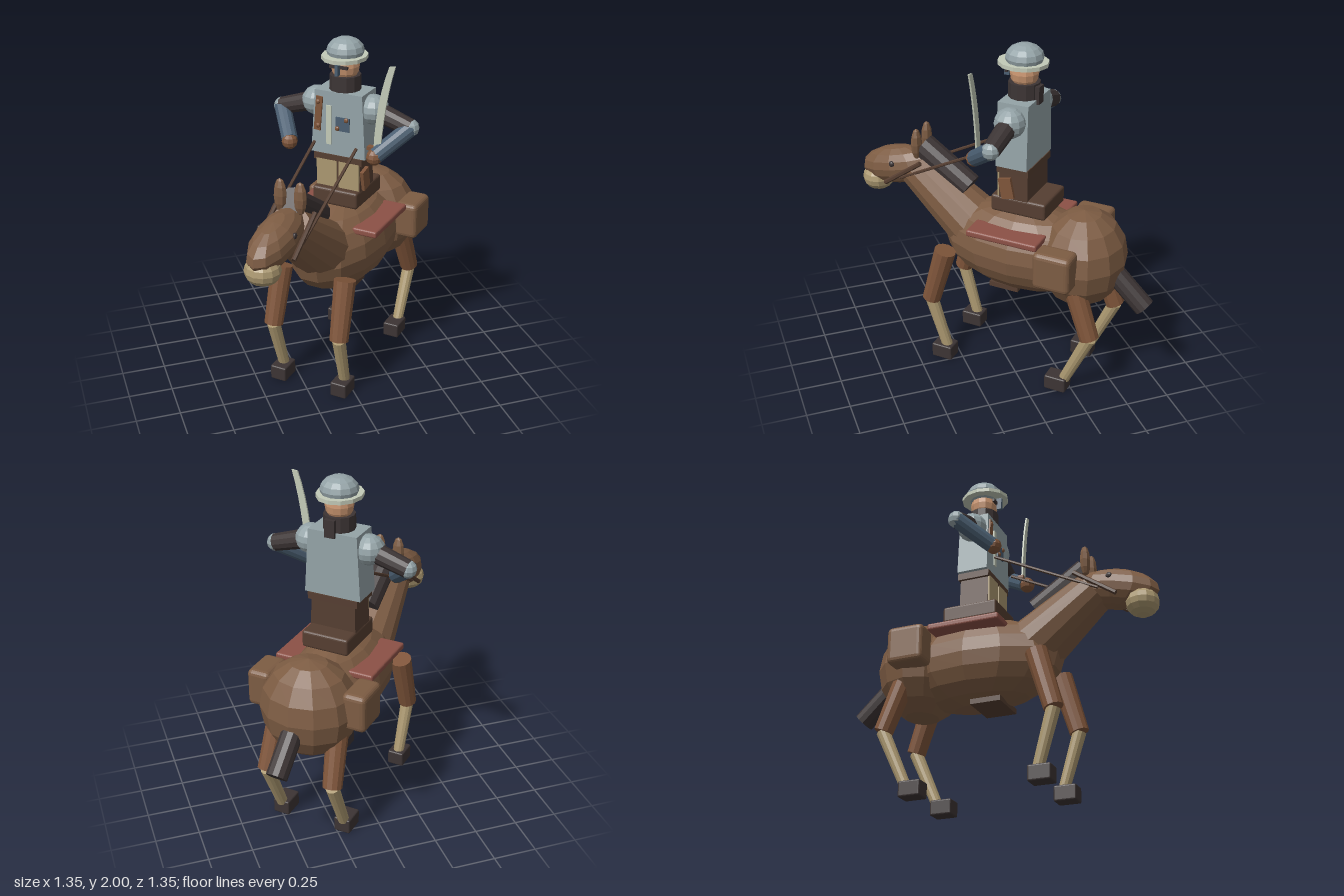
import * as THREE from 'three';
import { RoundedBoxGeometry } from 'three/addons/geometries/RoundedBoxGeometry.js';

const material = (name, color) => {
  const m = new THREE.MeshStandardMaterial({ color });
  m.name = name;
  return m;
};

export function createModel() {
  const coat = material('horse coat brown', 0x7d5c43);
  const leather = material('leather brown', 0x7f553a);
  const darkLeather = material('dark leather', 0x553e31);
  const tan = material('tan', 0xab9870);
  const charcoal = material('charcoal', 0x3c3434);
  const steel = material('steel grey', 0x94a3a7);
  const blue = material('dark blue', 0x4b5f72);
  const skin = material('skin', 0xc8946f);
  const red = material('blanket red', 0x8c5146);
  const pale = material('pale metal', 0xc3cab8);

  const model = new THREE.Group();
  const horse = new THREE.Group();
  horse.name = 'horse';
  const rider = new THREE.Group();
  rider.name = 'rider';
  model.add(horse, rider);
  // Horse and rider face diagonally
  model.rotation.y = -Math.PI / 4;

  // Faceted mesh helper
  const add = (parent, name, geometry, mat, pos = [0, 0, 0], rot = [0, 0, 0]) => {
    const g = geometry.index ? geometry.toNonIndexed() : geometry;
    g.computeVertexNormals();
    const mesh = new THREE.Mesh(g, mat);
    mesh.name = name;
    mesh.position.set(...pos);
    mesh.rotation.set(...rot);
    parent.add(mesh);
    return mesh;
  };
  const ball = (parent, name, mat, pos, r, rot, seg = 12, rows = 8) =>
    add(parent, name, new THREE.SphereGeometry(1, seg, rows).scale(...r), mat, pos, rot);
  const box = (parent, name, mat, pos, size, rot) =>
    add(parent, name, new THREE.BoxGeometry(...size), mat, pos, rot);
  const softBox = (parent, name, mat, pos, size, radius, rot) =>
    add(parent, name, new RoundedBoxGeometry(...size, 2, radius), mat, pos, rot);
  // Tapered rod from a to b
  const rod = (parent, name, mat, a, b, ra, rb = ra, sides = 12) => {
    const from = new THREE.Vector3(...a), to = new THREE.Vector3(...b);
    const dir = to.clone().sub(from);
    const mesh = add(parent, name, new THREE.CylinderGeometry(rb, ra, dir.length(), sides), mat);
    mesh.position.copy(from).add(to).multiplyScalar(0.5);
    mesh.quaternion.setFromUnitVectors(new THREE.Vector3(0, 1, 0), dir.normalize());
    return mesh;
  };
  // Box whose top is a different size from its bottom
  const taperBox = (parent, name, mat, pos, bottom, top, height) => {
    const g = new THREE.BoxGeometry(1, height, 1);
    const p = g.attributes.position;
    for (let i = 0; i < p.count; i++) {
      const s = p.getY(i) > 0 ? top : bottom;
      p.setX(i, p.getX(i) * s[0]);
      p.setZ(i, p.getZ(i) * s[1]);
    }
    return add(parent, name, g, mat, pos);
  };

  // Horse body, neck and head
  ball(horse, 'barrel', coat, [0, 0.79, -0.15], [0.26, 0.265, 0.5], [0, 0, 0], 14, 10);
  ball(horse, 'rump', coat, [0, 0.8, -0.51], [0.28, 0.29, 0.25]);
  rod(horse, 'neck', coat, [0, 0.82, 0.13], [0, 1.14, 0.54], 0.18, 0.125, 14);
  ball(horse, 'horseHead', coat, [0, 1.13, 0.67], [0.115, 0.115, 0.25], [0.22, 0, 0]);
  ball(horse, 'muzzle', tan, [0, 1.02, 0.815], [0.1, 0.082, 0.095]);
  rod(horse, 'mane', charcoal, [0, 1.08, 0.2], [0, 1.28, 0.5], 0.075);
  rod(horse, 'tail', charcoal, [0, 0.76, -0.68], [0, 0.56, -0.89], 0.06);

  // Tack
  softBox(horse, 'saddle', darkLeather, [0, 1.09, -0.165], [0.28, 0.1, 0.33], 0.015);
  box(horse, 'girth', darkLeather, [0, 0.54, -0.07], [0.24, 0.03, 0.18]);

  for (const s of [1, -1]) {
    ball(horse, 'ear', coat, [s * 0.06, 1.31, 0.513], [0.038, 0.095, 0.03], [0, 0, 0], 8, 6);
    ball(horse, 'eye', charcoal, [s * 0.105, 1.17, 0.66], [0.012, 0.018, 0.018], [0, 0, 0], 8, 6);
    rod(horse, 'bridle', darkLeather, [s * 0.118, 1.05, 0.7], [s * 0.118, 1.22, 0.46], 0.014, 0.014, 6);
    rod(horse, 'rein', darkLeather, [s * 0.13, 1.41, -0.01], [s * 0.118, 1.1, 0.6], 0.009, 0.009, 6);
    softBox(horse, 'blanket', red, [s * 0.225, 0.95, -0.135], [0.15, 0.04, 0.43], 0.012);
    softBox(horse, 'saddlebag', coat, [s * 0.29, 0.85, -0.46], [0.14, 0.22, 0.22], 0.03);

    // Front leg, then rear leg
    const legs = [
      ['front', [0.2, 0.74, 0.265], [0.21, 0.4, 0.36], [0.2, 0.08, 0.265], 0.285],
      ['rear', [0.18, 0.74, -0.52], [0.205, 0.4, -0.645], [0.2, 0.08, -0.5], -0.456],
    ];
    for (const [end, hip, knee, ankle, hoofZ] of legs) {
      const side = ([x, y, z]) => [s * x, y, z];
      rod(horse, end + 'UpperLeg', leather, side(hip), side(knee), 0.064, 0.055);
      rod(horse, end + 'LowerLeg', tan, side(knee), side(ankle), 0.039, 0.032);
      softBox(horse, end + 'Hoof', charcoal, [s * 0.197, 0.049, hoofZ], [0.1, 0.09, 0.13], 0.01);
    }

    // Rider's arms
    const shoulder = [s * 0.175, 1.61, -0.135], elbow = [s * 0.4, 1.54, -0.132];
    const wrist = [s * 0.265, 1.41, 0.03];
    ball(rider, 'shoulderPlate', steel, shoulder, [0.088, 0.085, 0.088], [0, 0, 0], 12, 8);
    rod(rider, 'upperArm', charcoal, shoulder, elbow, 0.058, 0.05);
    ball(rider, 'elbowPlate', steel, elbow, [0.05, 0.05, 0.05], [0, 0, 0], 10, 6);
    rod(rider, 'forearm', blue, elbow, wrist, 0.048, 0.046);
    ball(rider, 'hand', leather, [s * 0.262, 1.405, 0.038], [0.046, 0.046, 0.046], [0, 0, 0], 10, 6);

    // Trouser panels below the belt
    box(rider, 'trouserPanel', tan, [s * 0.07, 1.215, -0.045], [0.125, 0.17, 0.009]);
  }

  // Torso and hips
  const rz = -0.137;
  taperBox(rider, 'torso', steel, [0, 1.52, rz], [0.335, 0.185], [0.29, 0.18], 0.37);
  box(rider, 'belt', darkLeather, [0, 1.312, rz], [0.3, 0.04, 0.19]);
  taperBox(rider, 'coatSkirt', darkLeather, [0, 1.21, rz], [0.275, 0.175], [0.265, 0.17], 0.18);
  box(rider, 'holster', leather, [0.14, 1.2, -0.1], [0.03, 0.12, 0.075], [0.2, 0, 0]);

  // Chest details
  const front = -0.043;
  box(rider, 'chestStrip', pale, [-0.055, 1.51, front], [0.03, 0.23, 0.009]);
  box(rider, 'chestStrap', leather, [-0.12, 1.57, front], [0.04, 0.2, 0.012], [0, 0, -0.08]);
  box(rider, 'chestPocket', blue, [0.03, 1.525, front], [0.085, 0.08, 0.009]);
  for (const [x, y] of [[0.055, 1.555], [0, 1.5], [-0.12, 1.64], [-0.12, 1.5]]) {
    ball(rider, 'button', leather, [x, y, front + 0.008], [0.014, 0.014, 0.01], [0, 0, 0], 8, 6);
  }

  // Neck scarf, face and helmet
  rod(rider, 'scarf', charcoal, [0, 1.695, rz], [0, 1.79, rz], 0.09, 0.088);
  box(rider, 'scarfTail', charcoal, [0.01, 1.73, rz - 0.092], [0.06, 0.1, 0.025]);
  ball(rider, 'head', skin, [0, 1.84, rz], [0.08, 0.095, 0.08]);
  box(rider, 'noseGuard', blue, [0, 1.845, -0.035], [0.02, 0.075, 0.03]);
  box(rider, 'visorBar', charcoal, [0, 1.85, -0.052], [0.11, 0.016, 0.014]);
  const brim = new THREE.CylinderGeometry(1, 1, 0.022, 12).scale(0.127, 1, 0.142);
  add(rider, 'helmetBrim', brim, pale, [0, 1.893, rz + 0.008]);
  ball(rider, 'helmetDome', steel, [0, 1.925, rz], [0.106, 0.075, 0.106]);

  // Curved sword held in the left hand
  const blade = new THREE.Shape();
  blade.moveTo(0.245, 1.42);
  blade.quadraticCurveTo(0.25, 1.72, 0.365, 1.925);
  blade.lineTo(0.33, 1.91);
  blade.lineTo(0.365, 1.925);
  blade.quadraticCurveTo(0.31, 1.72, 0.29, 1.42);
  const outline = new THREE.Shape();
  outline.moveTo(0.245, 1.42);
  outline.quadraticCurveTo(0.255, 1.72, 0.33, 1.92);
  outline.lineTo(0.365, 1.925);
  outline.quadraticCurveTo(0.305, 1.72, 0.285, 1.42);
  const bladeGeometry = new THREE.ExtrudeGeometry(outline, { depth: 0.01, bevelEnabled: false, curveSegments: 6 });
  add(rider, 'swordBlade', bladeGeometry, pale, [0, 0, 0.005]);
  box(rider, 'swordGuard', leather, [0.262, 1.445, 0.012], [0.1, 0.02, 0.035]);

  const root = new THREE.Group();
  root.name = 'mountedRider';
  root.add(model);
  return root;
}
